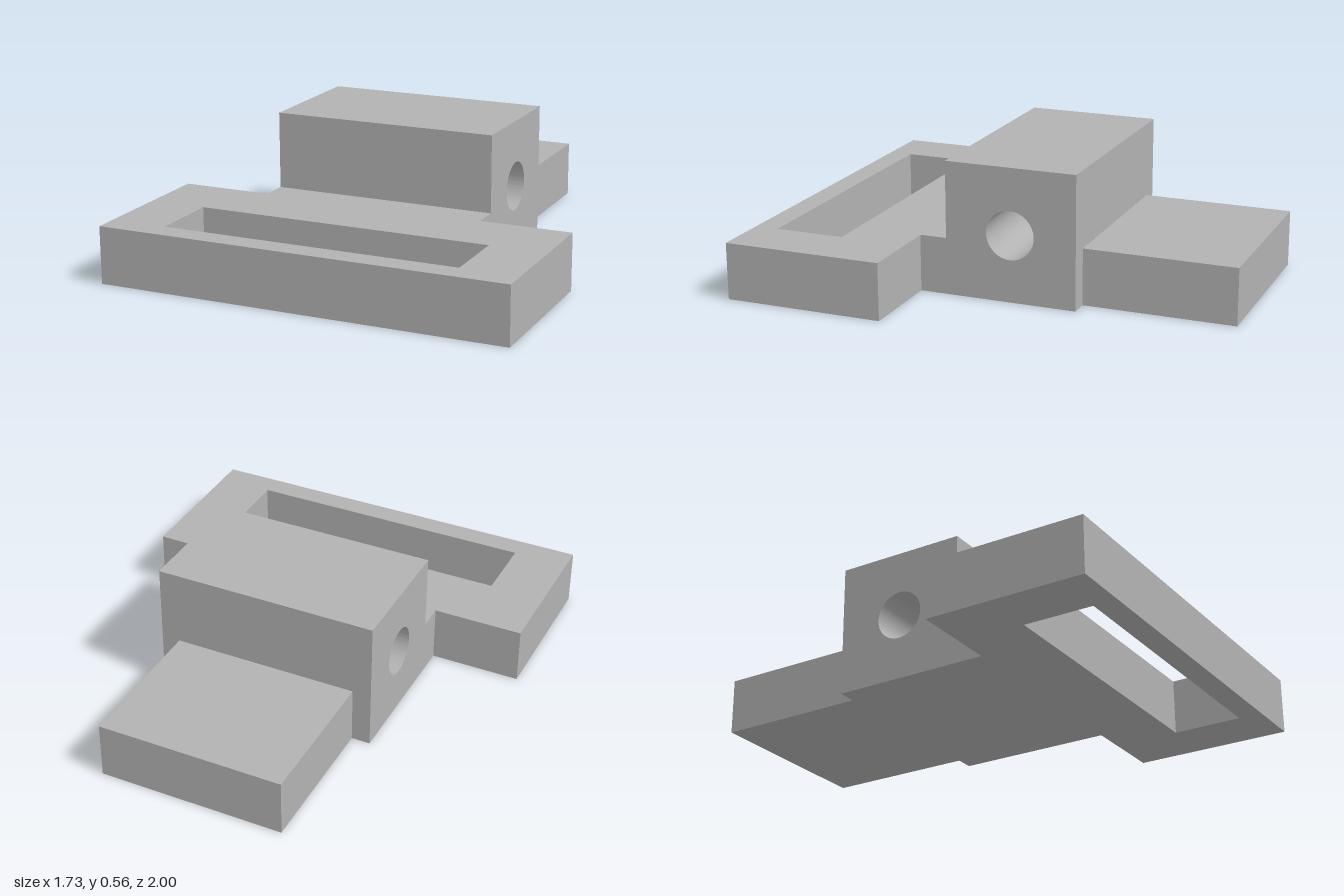
import * as THREE from 'three';
import { toCreasedNormals } from 'three/addons/utils/BufferGeometryUtils.js';

const BASE = 0.24; // thickness of the flat parts

function polygon(points) {
  return points.map(([x, y]) => new THREE.Vector2(x, y));
}

function extrude(shape, depth) {
  return new THREE.ExtrudeGeometry(shape, { depth, bevelEnabled: false, curveSegments: 48 });
}

export function createModel() {
  const model = new THREE.Group();
  const grey = new THREE.MeshStandardMaterial({ color: 0xb2b2b2 });
  grey.name = 'plain grey';

  function add(name, geometry) {
    const mesh = new THREE.Mesh(geometry, grey);
    mesh.name = name;
    model.add(mesh);
  }

  // Wide front plate with a long slot, drawn as (x, -z) and laid flat
  const plate = new THREE.Shape(polygon([[-0.867, -1], [0.867, -1], [0.867, -0.32], [-0.867, -0.32]]));
  plate.holes.push(new THREE.Path(polygon([[-0.627, -0.9], [-0.627, -0.603], [0.627, -0.603], [0.627, -0.9]])));
  add('slottedPlate', extrude(plate, BASE).rotateX(-Math.PI / 2));

  // Raised block and low neck, drawn as (-z, y) with a round cross bore
  const block = new THREE.Shape(polygon([
    [-0.32, 0], [0.357, 0], [0.357, 0.565], [-0.205, 0.565], [-0.205, BASE], [-0.32, BASE],
  ]));
  block.holes.push(new THREE.Path().absarc(0.075, 0.283, 0.103, 0, Math.PI * 2, true));
  const blockGeometry = extrude(block, 0.96).translate(0, 0, -0.48).rotateY(Math.PI / 2);
  add('boredBlock', toCreasedNormals(blockGeometry, 0.5));

  // Rear tongue
  add('rearTongue', new THREE.BoxGeometry(0.8, BASE, 0.643).translate(0, BASE / 2, -0.6785));

  return model;
}
